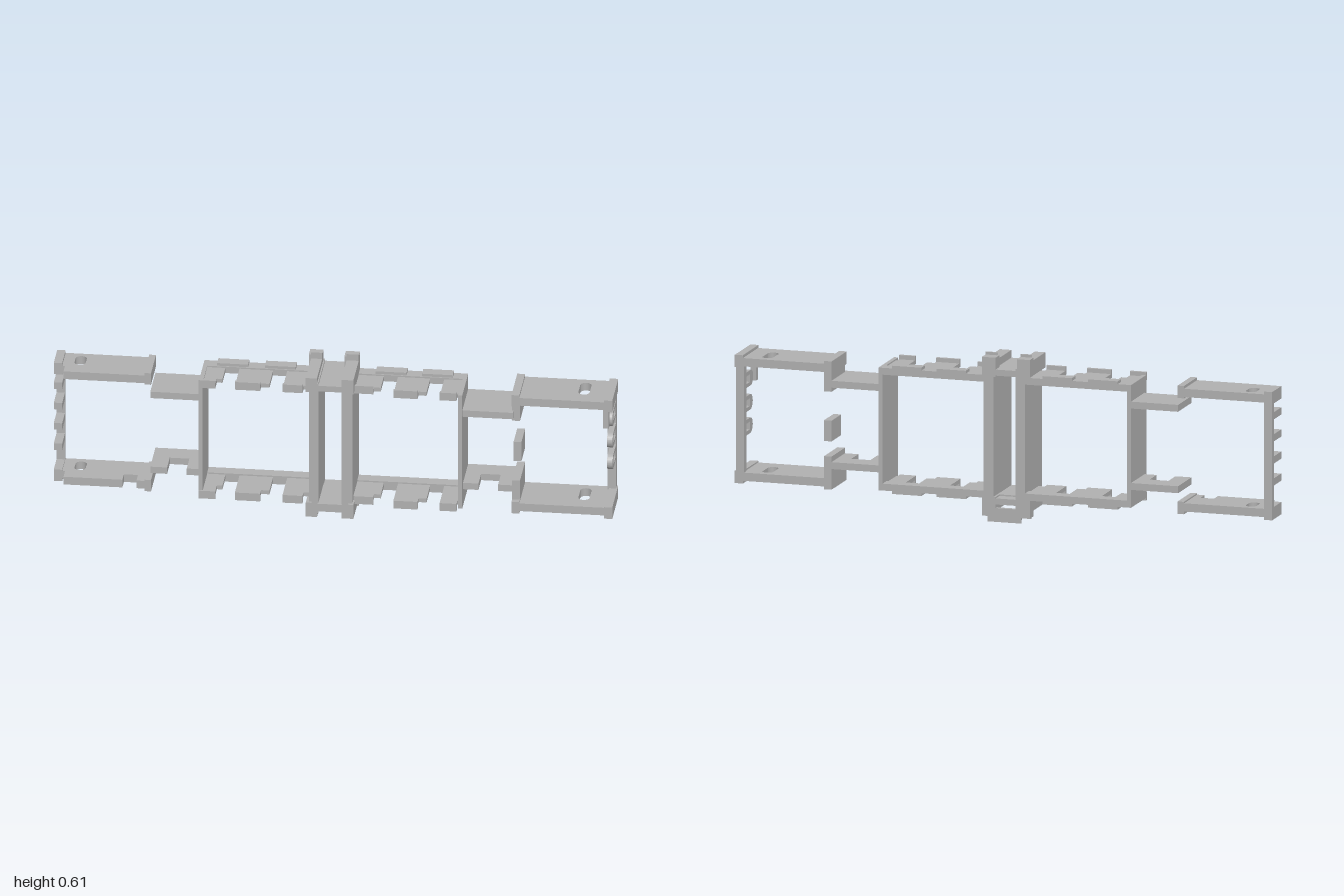
import * as THREE from 'three';

const MID = 0.615; // upper and lower parts mirror about half this height

export function createModel() {
  const root = new THREE.Group();
  root.name = 'bracketFrame';
  const grey = new THREE.MeshStandardMaterial({ color: 0xb0b0b0 });
  grey.name = 'matteGrey';

  const add = (name, geo) => {
    const m = new THREE.Mesh(geo, grey);
    m.name = name;
    root.add(m);
    return m;
  };
  const box = (name, x0, x1, y0, y1, z0, z1) => {
    const g = new THREE.BoxGeometry(x1 - x0, y1 - y0, z1 - z0);
    g.translate((x0 + x1) / 2, (y0 + y1) / 2, (z0 + z1) / 2);
    return add(name, g);
  };
  // the same box above and below
  const pair = (name, x0, x1, y0, y1, z0, z1) => {
    box(name + 'Upper', x0, x1, y0, y1, z0, z1);
    box(name + 'Lower', x0, x1, MID - y1, MID - y0, z0, z1);
  };
  const outline = (pts) => new THREE.Shape(pts.map(([x, y]) => new THREE.Vector2(x, y)));
  const slot = (x0, x1, z0, z1) => {
    const r = (x1 - x0) / 2, c = (x0 + x1) / 2, h = new THREE.Path();
    h.absarc(c, z0 + r, r, Math.PI, 2 * Math.PI, false);
    h.absarc(c, z1 - r, r, 0, Math.PI, false);
    h.closePath();
    return h;
  };
  // flat plate drawn in x and z
  const plate = (name, pts, y0, y1, holes = []) => {
    const s = outline(pts);
    s.holes.push(...holes);
    const g = new THREE.ExtrudeGeometry(s, { depth: y1 - y0, bevelEnabled: false, curveSegments: 8 });
    g.rotateX(Math.PI / 2).translate(0, y1, 0);
    return add(name, g);
  };

  // ---- two inner frames: side walls, back rails, notched shelves ----
  const frames = [
    { x0: -0.475, x1: -0.06, outer: [-0.475, -0.46], inner: [-0.08, -0.065],
      fingers: [[-0.475, -0.395, 0.03, 0.08], [-0.345, -0.225, 0.05, 0.08], [-0.175, -0.08, 0.05, 0.08]] },
    { x0: 0.05, x1: 0.465, outer: [0.45, 0.465], inner: [0.055, 0.075],
      fingers: [[0.075, 0.17, 0.035, 0.06], [0.22, 0.335, 0.05, 0.08], [0.385, 0.465, 0.05, 0.08]] },
  ];
  for (const f of frames) {
    box('frameOuterWall', ...f.outer, 0.085, 0.53, -0.105, 0.075);
    box('frameInnerWall', ...f.inner, 0.085, 0.53, -0.105, 0.09);
    pair('frameBackRail', f.x0, f.x1, 0.505, 0.53, -0.105, -0.06);
    for (const [a, b, zs, z] of f.fingers) {
      const cut = a + (b - a) * 0.75;
      const pts = [[a, -0.062], [b, -0.062], [b, zs], [cut, zs], [cut, z], [a, z]];
      plate('shelfFingerUpper', pts, 0.51, 0.525);
      plate('shelfFingerLower', pts, MID - 0.525, MID - 0.51);
      pair('fingerLip', a, cut, 0.51, 0.54, z - 0.012, z);
    }
    // low raised catches along the back rail
    const [n1, n2] = [f.fingers[0][1], f.fingers[1][1]];
    for (const a of [n1, n2]) pair('railCatch', a - 0.03, a + 0.08, 0.528, 0.54, -0.105, -0.065);
  }

  // ---- connecting plates between inner frames and end frames ----
  plate('leftLinkUpper', [[-0.65, -0.105], [-0.465, -0.105], [-0.465, 0.05], [-0.65, 0.05]], 0.445, 0.47);
  plate('leftLinkLower', [[-0.65, -0.105], [-0.465, -0.105], [-0.465, 0.05], [-0.52, 0.05],
    [-0.52, -0.03], [-0.59, -0.03], [-0.59, 0.05], [-0.65, 0.05]], 0.15, 0.175);
  plate('rightLinkUpper', [[0.46, -0.105], [0.645, -0.105], [0.645, 0.07], [0.46, 0.07]], 0.445, 0.47);
  plate('rightLinkLower', [[0.46, -0.105], [0.645, -0.105], [0.645, 0.05], [0.59, 0.05],
    [0.59, -0.03], [0.52, -0.03], [0.52, 0.05], [0.46, 0.05]], 0.15, 0.175);

  // ---- left end frame ----
  const leftPts = [[-1, -0.105], [-0.65, -0.105], [-0.65, 0.045], [-0.96, 0.045], [-0.96, 0], [-1, 0]];
  const leftHole = () => [slot(-0.93, -0.89, -0.085, -0.015)];
  plate('leftEndPlateUpper', leftPts, 0.5, 0.53, leftHole());
  plate('leftEndPlateLower', [[-1, -0.105], [-0.65, -0.105], [-0.65, 0.045], [-0.7, 0.045], [-0.7, 0],
    [-0.75, 0], [-0.75, 0.045], [-0.96, 0.045], [-0.96, 0], [-1, 0]], 0.085, 0.115, leftHole());
  pair('leftEndLip', -0.672, -0.648, 0.495, 0.54, -0.105, 0.045);
  pair('leftCornerCap', -1, -0.97, 0.495, 0.54, -0.105, 0);
  box('leftEndPost', -1, -0.97, 0.085, 0.53, -0.105, -0.085);
  for (const y of [0.21, 0.29, 0.37, 0.45]) box('leftEndTab', -1, -0.97, y - 0.013, y + 0.013, -0.09, 0);

  // ---- right end frame ----
  const rightPts = [[0.645, -0.105], [1, -0.105], [1, 0.07], [0.645, 0.07]];
  const rightHole = () => [slot(0.87, 0.91, -0.08, 0.015)];
  plate('rightEndPlateUpper', rightPts, 0.5, 0.53, rightHole());
  plate('rightEndPlateLower', rightPts, 0.085, 0.115, rightHole());
  pair('rightEndLip', 0.97, 1, 0.495, 0.54, -0.105, 0.075);
  pair('rightInnerLip', 0.64, 0.668, 0.495, 0.54, -0.105, 0.07);
  box('rightUpperPost', 0.64, 0.668, 0.43, 0.5, -0.105, 0.05);
  box('rightFloatingBlock', 0.64, 0.668, 0.25, 0.325, -0.105, 0.005);
  box('rightLowerPost', 0.64, 0.668, 0.1, 0.195, -0.105, 0.05);
  box('rightEndPost', 0.965, 0.995, 0.085, 0.53, -0.105, -0.08);
  box('rightFrontPanel', 0.965, 0.985, 0.42, 0.51, 0.03, 0.055);

  // slotted clip tabs on the right end wall, drawn in z and y
  for (const [y, zf] of [[0.437, 0.03], [0.35, 0.025], [0.265, 0.025]]) {
    const s = new THREE.Shape();
    s.moveTo(0.085, y - 0.028);
    s.lineTo(-zf + 0.02, y - 0.028);
    s.absarc(-zf + 0.028, y, 0.028, 1.5 * Math.PI, 0.5 * Math.PI, true);
    s.lineTo(0.085, y + 0.028);
    s.closePath();
    s.holes.push(new THREE.Path([[0.008, y - 0.014], [0.07, y - 0.014], [0.07, y + 0.014], [0.008, y + 0.014]]
      .map(([a, b]) => new THREE.Vector2(a, b))));
    const g = new THREE.ExtrudeGeometry(s, { depth: 0.02, bevelEnabled: false, curveSegments: 8 });
    g.rotateY(Math.PI / 2).translate(0.975, 0, 0);
    add('rightClipTab', g);
  }

  // ---- centre column: two cheeks with collars, bridges and tabs ----
  for (const [a, b] of [[-0.07, -0.045], [0.037, 0.06]]) {
    box('centreCheek', a, b, 0.05, 0.56, -0.105, 0.1);
  }
  for (const [a, b] of [[-0.09, -0.05], [0.037, 0.08]]) {
    pair('collar', a, b, 0.525, 0.58, -0.06, 0.1);
    pair('collarBack', a - 0.008, b, 0.525, 0.595, -0.105, -0.06);
    pair('collarTab', a, b, 0.59, 0.605, -0.065, -0.058);
  }
  pair('centreBridge', -0.06, 0.05, 0.53, 0.552, -0.105, 0.1);
  box('centreFoot', -0.065, 0.06, 0.012, 0.05, -0.105, -0.09);
  box('centreTongue', -0.065, 0.06, 0, 0.02, -0.105, -0.1);
  box('centreSill', -0.05, 0.04, 0.06, 0.09, -0.06, 0.105);

  return root;
}
